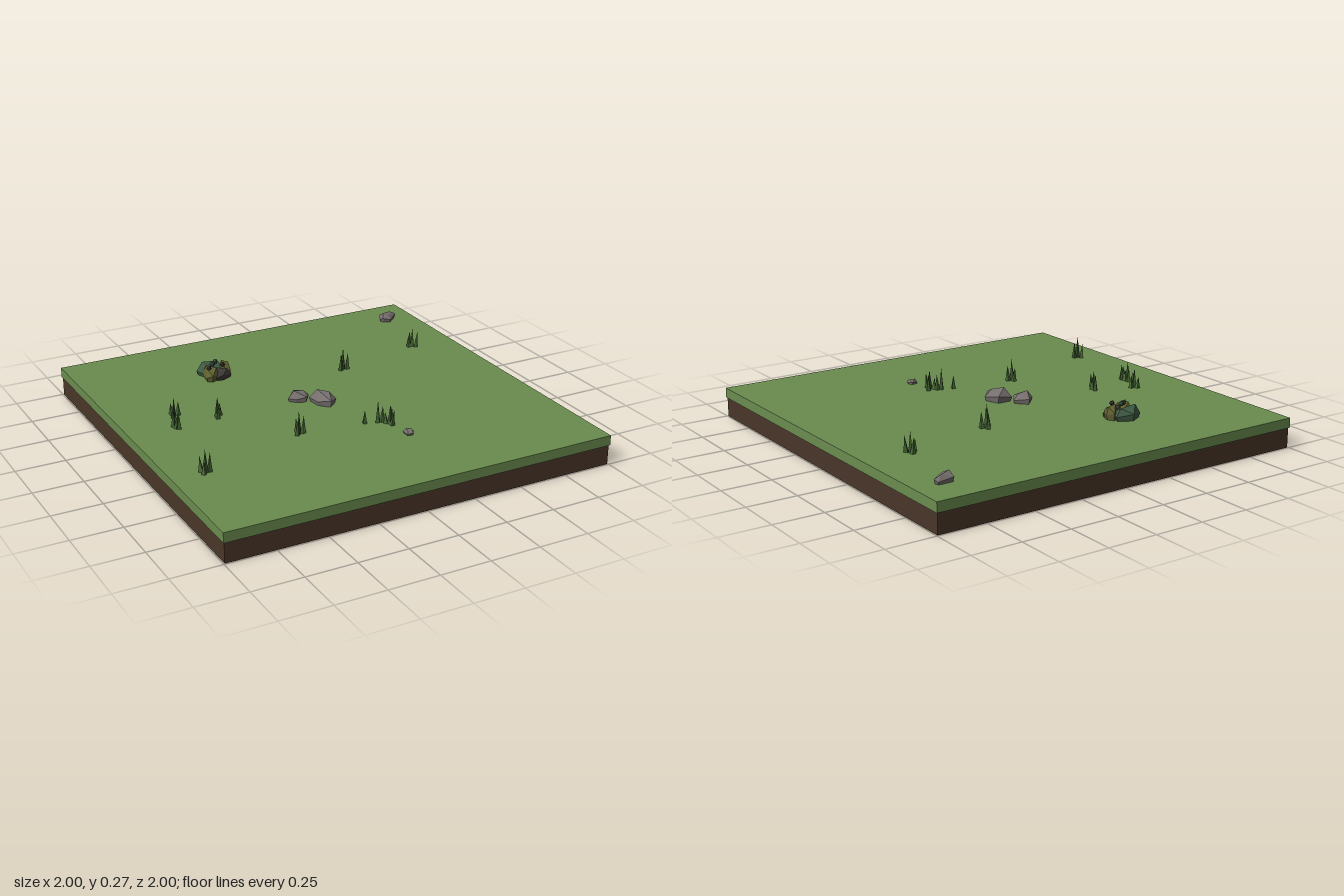
import * as THREE from 'three';
import { ConvexGeometry } from 'three/addons/geometries/ConvexGeometry.js';

const GROUND = 0.15;
const material = (color) => new THREE.MeshStandardMaterial({ color, flatShading: true });

function add(parent, name, geometry, mat, x = 0, y = 0, z = 0) {
  const mesh = new THREE.Mesh(geometry, mat);
  mesh.name = name;
  mesh.position.set(x, y, z);
  parent.add(mesh);
  return mesh;
}

// Faceted stone: footprint outline [x, z], pulled in at the base and at the crest
function stone(parent, name, mat, outline, top, crest = 0.45, bottom = GROUND) {
  const cx = outline.reduce((s, p) => s + p[0], 0) / outline.length;
  const cz = outline.reduce((s, p) => s + p[1], 0) / outline.length;
  const h = top - bottom;
  const points = [];
  outline.forEach(([x, z], i) => {
    const dx = x - cx, dz = z - cz;
    points.push(new THREE.Vector3(dx * 0.85, -0.005, dz * 0.85));
    points.push(new THREE.Vector3(dx, h * (i % 2 ? 0.5 : 0.3), dz));
    if (i % 2 === 0) points.push(new THREE.Vector3(dx * crest, h * (1 - 0.07 * i), dz * crest));
  });
  return add(parent, name, new ConvexGeometry(points), mat, cx, bottom, cz);
}

// Clump of tapering blades; each blade is [dx, dz, height fraction]
function tuft(parent, [x, z, height, turn, count], mats) {
  const group = new THREE.Group();
  group.name = 'grassTuft';
  group.position.set(x, GROUND, z);
  group.rotation.y = turn;
  const blades = [[0, 0, 1], [0.021, 0.006, 0.72], [-0.018, 0.01, 0.8], [0.004, -0.02, 0.62]];
  blades.slice(0, count).forEach(([dx, dz, f], i) => {
    const h = height * f;
    const geometry = new THREE.ConeGeometry(0.014, h, 4).translate(0, h / 2, 0);
    const blade = add(group, 'grassBlade', geometry, mats[i % 2], dx, -0.002, dz);
    blade.rotation.set(dz * 4, i * 0.7, -dx * 4);
  });
  parent.add(group);
}

export function createModel() {
  const model = new THREE.Group();
  model.name = 'grassyGroundTile';

  // Ground slab
  add(model, 'soil', new THREE.BoxGeometry(1.99, 0.1, 1.99), material(0x4a3628), 0, 0.05, 0);
  add(model, 'turf', new THREE.BoxGeometry(2, 0.05, 2), material(0x6a8c4f), 0, 0.125, 0);

  // Grey stones
  const grey = material(0x77706f);
  stone(model, 'cornerStone', grey,
    [[0.79, -0.8], [0.81, -0.84], [0.89, -0.84], [0.9, -0.82], [0.84, -0.765], [0.8, -0.78]], 0.195, 0.55);
  stone(model, 'backStone', grey,
    [[-0.16, -0.06], [-0.1, -0.12], [-0.045, -0.06], [-0.08, -0.01], [-0.13, -0.03]], 0.205);
  stone(model, 'middleStone', grey,
    [[-0.065, -0.02], [0.015, -0.02], [0.045, 0.06], [-0.005, 0.105], [-0.055, 0.05]], 0.22);
  stone(model, 'pebble', grey,
    [[0.155, 0.515], [0.19, 0.505], [0.2, 0.535], [0.185, 0.56], [0.155, 0.555]], 0.175, 0.6);

  // Mossy rock pile
  const pile = new THREE.Group();
  pile.name = 'mossyRockPile';
  model.add(pile);
  const moss = material(0x3f5b45), olive = material(0x5f6030), dark = material(0x3f3b38);
  stone(pile, 'mossyRock', moss,
    [[-0.42, -0.58], [-0.35, -0.62], [-0.275, -0.58], [-0.29, -0.53], [-0.4, -0.53]], 0.22, 0.6);
  stone(pile, 'leftOliveRock', olive,
    [[-0.4, -0.55], [-0.34, -0.55], [-0.33, -0.48], [-0.385, -0.45], [-0.41, -0.47]], 0.22, 0.55);
  stone(pile, 'rightOliveRock', olive,
    [[-0.31, -0.55], [-0.275, -0.565], [-0.255, -0.53], [-0.27, -0.49], [-0.31, -0.485]], 0.225, 0.6);
  stone(pile, 'frontRock', dark,
    [[-0.37, -0.53], [-0.29, -0.53], [-0.27, -0.48], [-0.325, -0.455], [-0.36, -0.46]], 0.205, 0.6);

  // Small lumps on top of the pile: x, y, z, radius
  [[-0.355, 0.218, -0.525, 0.015], [-0.31, 0.218, -0.5, 0.014], [-0.33, 0.222, -0.545, 0.014],
    [-0.385, 0.21, -0.5, 0.013]].forEach(([x, y, z, r], i) =>
    add(pile, 'smallLump', new THREE.IcosahedronGeometry(r, 0), i % 2 ? dark : moss, x, y, z));

  // Grass tufts: x, z, height, turn, blade count
  const greens = [material(0x3f5e2f), material(0x4c6e39)];
  [[-0.72, -0.17, 0.1, 0.4, 4], [-0.77, -0.055, 0.1, 1.3, 3], [-0.755, -0.025, 0.08, 2, 2],
    [-0.54, -0.065, 0.09, 0.8, 3], [-0.52, -0.105, 0.085, 0, 1], [0.28, -0.3, 0.12, 0, 4],
    [0.76, -0.405, 0.105, 1.8, 4], [-0.28, 0.29, 0.12, 0.2, 4], [-0.835, 0.455, 0.115, 2.6, 4],
    [0.05, 0.335, 0.07, 0.5, 1], [0.11, 0.355, 0.115, 0.1, 2], [0.155, 0.395, 0.1, 1, 4],
    [0.175, 0.375, 0.08, 0.3, 1]].forEach((t) => tuft(model, t, greens));

  return model;
}
